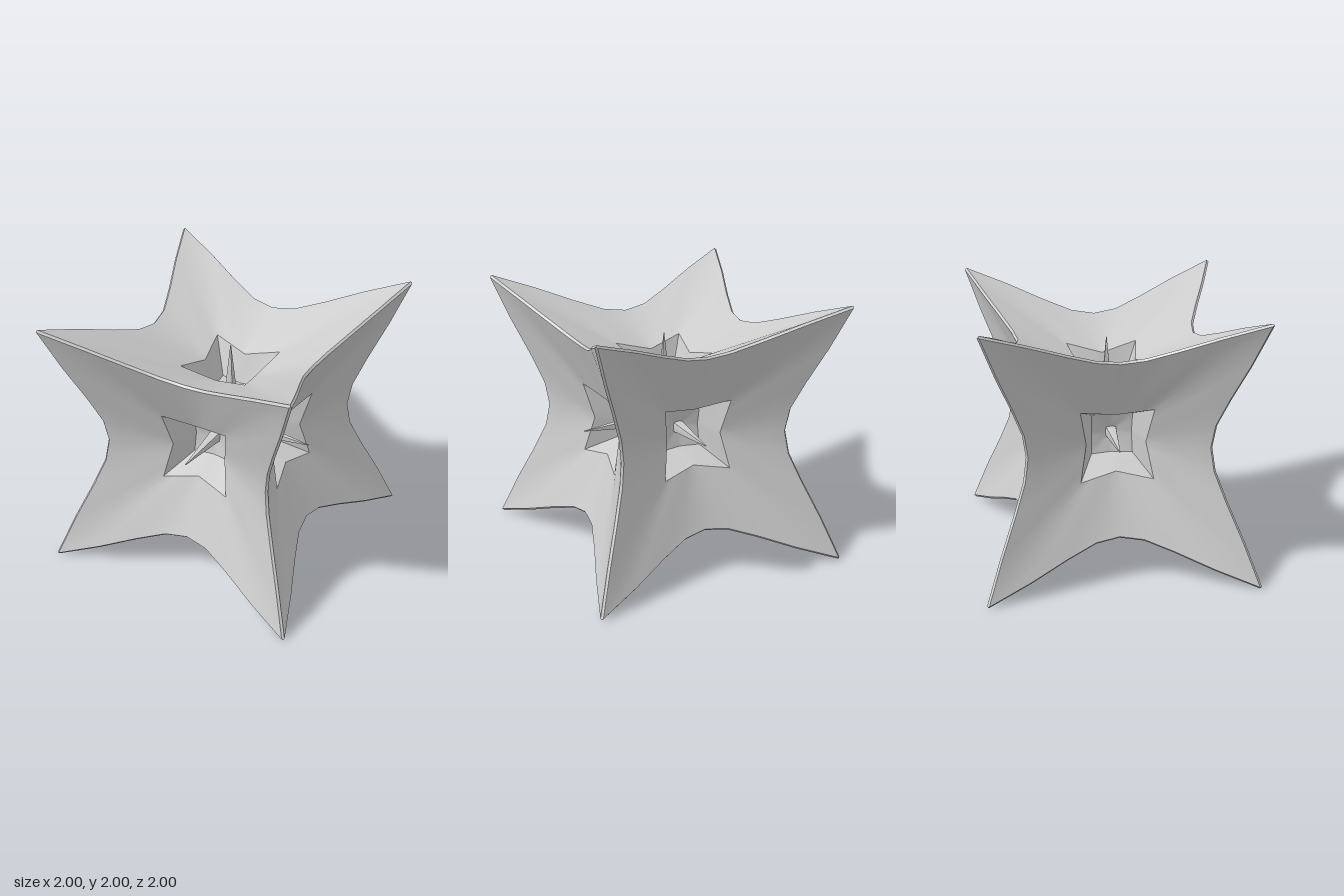
import * as THREE from 'three';
import { toCreasedNormals } from 'three/addons/utils/BufferGeometryUtils.js';

// stations along one side of a face, and how far the concave cube edge lies from the centre there
const STATIONS = [-1, -0.68, -0.4, -0.18, 0, 0.18, 0.4, 0.68];
const EDGE = { 0: 0.675, 0.18: 0.7, 0.4: 0.778, 0.68: 0.888, 1: 1 };
const edge = (t) => EDGE[Math.abs(t)];

// closed ring with four equal sides; side(t) gives [along, outward, height]
function ring(side) {
  const points = [];
  for (let k = 0; k < 4; k++) {
    for (const t of STATIONS) {
      const [a, d, h] = side(t);
      points.push(new THREE.Vector3(a, -d, h).applyAxisAngle(new THREE.Vector3(0, 0, 1), k * Math.PI / 2));
    }
  }
  return points;
}

// skin a list of rings, ordered from outside to inside
function skin(rings, crease) {
  const n = rings[0].length;
  const index = [];
  for (let r = 0; r < rings.length - 1; r++) {
    for (let i = 0; i < n; i++) {
      const a = r * n + i, b = r * n + (i + 1) % n;
      index.push(a, b, b + n, a, b + n, a + n);
    }
  }
  const g = new THREE.BufferGeometry().setFromPoints(rings.flat());
  g.setIndex(index);
  return toCreasedNormals(g, crease);
}

const blend = (a, b, s) => a.map((p, i) => p.clone().lerp(b[i], s));

export function createModel() {
  const model = new THREE.Group();
  model.name = 'concaveStarCube';
  const material = new THREE.MeshStandardMaterial({ color: 0xcccccc });

  // rings of one face, looking along +z
  const edgeLine = ring((t) => [t * 0.993, edge(t) - 0.007, edge(t) - 0.007]);
  const border = ring((t) => [t * 0.985, edge(t) - 0.015, edge(t)]);
  const rim = ring((t) => [t * 0.27, 0.22 + 0.05 * Math.abs(t), 0.48 + 0.07 * Math.abs(t)]);
  const floorEdge = ring((t) => [t * 0.155, 0.15 + 0.005 * Math.abs(t), 0.26 + 0.02 * Math.abs(t)]);
  const spikeBase = ring((t) => [t * 0.036, 0.042 - 0.006 * t * t, 0.235]);
  const spikeTip = ring((t) => [t * 0.002, 0.002, 0.67]);

  const slope = [0, 0.25, 0.5, 0.75, 1].map((s) => blend(border, rim, s));
  const parts = {
    edgeBevel: skin([edgeLine, border], 0.5),
    outerFace: skin(slope, 0.6),
    recessWall: skin([rim, floorEdge], 0.3),
    recessFloor: skin([floorEdge, blend(floorEdge, spikeBase, 0.5), spikeBase], 0.5),
    spike: skin([spikeBase, spikeTip], 0.6),
  };

  // the same face turned to all six sides
  const turns = {
    front: [0, 0], left: [0, 1], back: [0, 2], right: [0, 3], top: [-1, 0], bottom: [1, 0],
  };
  for (const [name, [rx, ry]] of Object.entries(turns)) {
    const face = new THREE.Group();
    face.name = name + 'Face';
    for (const [part, geometry] of Object.entries(parts)) {
      const mesh = new THREE.Mesh(geometry, material);
      mesh.name = part;
      face.add(mesh);
    }
    face.rotation.set(rx * Math.PI / 2, ry * Math.PI / 2, 0);
    face.position.y = 1;
    model.add(face);
  }
  return model;
}
